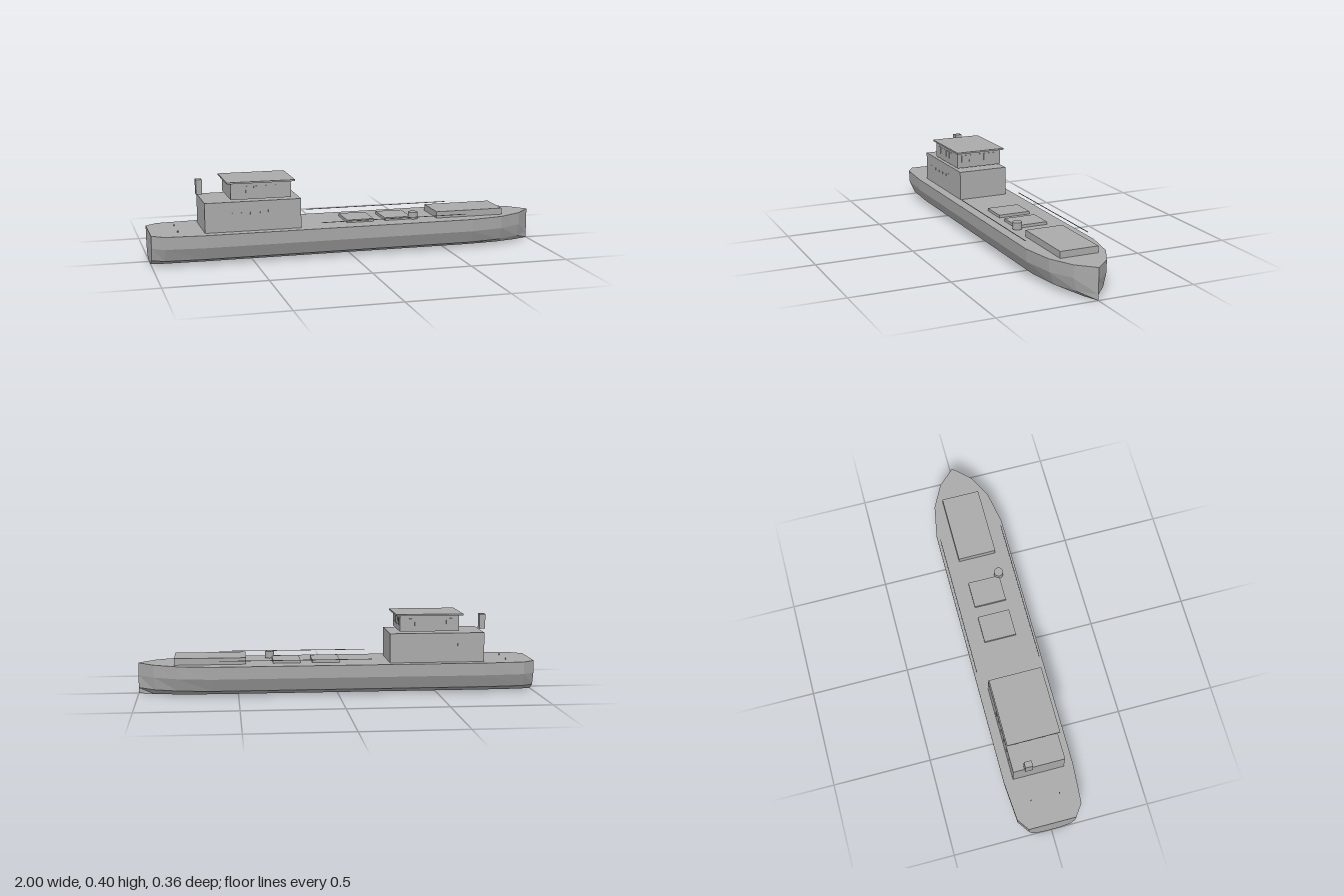
import * as THREE from 'three';

const hullGrey = new THREE.MeshStandardMaterial({ color: 0xaaaaaa, flatShading: true });
hullGrey.name = 'ship grey';

const DECK = 0.155;

// Hull lofted through stations along x; every station scales the same chined section.
function hullGeometry() {
  const stations = [[-1, 0.12], [-0.94, 0.163], [-0.74, 0.178], [0.63, 0.178], [0.8, 0.147], [0.92, 0.085], [1, 0]];
  const half = [[1, DECK], [0.98, 0.092], [0.8, 0.028], [0.39, 0]];
  const section = [...half, ...half.map(([z, y]) => [-z, y]).reverse()];
  const n = section.length;
  const positions = [];
  const index = [];
  for (const [x, w] of stations) for (const [z, y] of section) positions.push(x, y, z * w);
  for (let i = 0; i < stations.length - 1; i++) {
    for (let j = 0; j < n; j++) {
      const k = (j + 1) % n;
      const a = i * n + j, d = i * n + k, b = a + n, c = d + n;
      index.push(a, d, c, a, c, b);
    }
  }
  for (let j = 1; j < n - 1; j++) index.push(0, j + 1, j); // transom
  const g = new THREE.BufferGeometry();
  g.setAttribute('position', new THREE.Float32BufferAttribute(positions, 3));
  g.setIndex(index);
  const flat = g.toNonIndexed();
  flat.computeVertexNormals();
  return flat;
}

export function createModel() {
  const ship = new THREE.Group();
  ship.name = 'ship';

  const add = (name, geometry, x = 0, y = 0, z = 0) => {
    const mesh = new THREE.Mesh(geometry, hullGrey);
    mesh.name = name;
    mesh.position.set(x, y, z);
    ship.add(mesh);
    return mesh;
  };
  // Box given by its extents
  const box = (name, x0, x1, y0, y1, z0, z1) =>
    add(name, new THREE.BoxGeometry(x1 - x0, y1 - y0, z1 - z0), (x0 + x1) / 2, (y0 + y1) / 2, (z0 + z1) / 2);

  add('hull', hullGeometry());

  // Superstructure
  box('deckhouse', -0.74, -0.26, DECK, 0.303, -0.13, 0.13);
  box('bridge', -0.61, -0.31, 0.312, 0.392, -0.123, 0.123);
  box('bridgeRoof', -0.63, -0.29, 0.392, 0.4, -0.132, 0.132);
  box('funnel', -0.755, -0.725, 0.315, 0.39, -0.075, -0.037);

  // Cargo hatches and raised foredeck
  box('aftHatch', -0.012, 0.128, DECK, 0.169, -0.083, 0.083);
  box('foreHatch', 0.187, 0.325, DECK, 0.169, -0.083, 0.083);
  box('foredeck', 0.46, 0.817, DECK, 0.188, -0.098, 0.098);
  add('capstan', new THREE.CylinderGeometry(0.024, 0.024, 0.035, 16), 0.336, 0.1755, 0.083);

  for (const s of [1, -1]) {
    // Rails, bollards and side fittings
    add('rail', new THREE.BoxGeometry(0.76, 0.003, 0.003), 0.215, 0.182, s * 0.164);
    add('bollard', new THREE.CylinderGeometry(0.003, 0.003, 0.01, 8), -0.865, 0.16, s * 0.072);
    add('door', new THREE.BoxGeometry(0.012, 0.03, 0.002), -0.42, 0.242, s * 0.131);
    for (let i = 0; i < 5; i++) {
      add('porthole', new THREE.BoxGeometry(0.012, 0.012, 0.002), -0.66 + i * 0.05, 0.242, s * 0.1305);
    }
    for (let i = 0; i < 6; i++) {
      add('bridgeSideWindow', new THREE.BoxGeometry(0.03, 0.036, 0.002), -0.56 + i * 0.04, 0.359, s * 0.1235);
    }
  }
  for (let i = -2; i <= 2; i++) {
    add('bridgeFrontWindow', new THREE.BoxGeometry(0.004, 0.036, 0.032), -0.309, 0.361, i * 0.042);
  }

  return ship;
}
